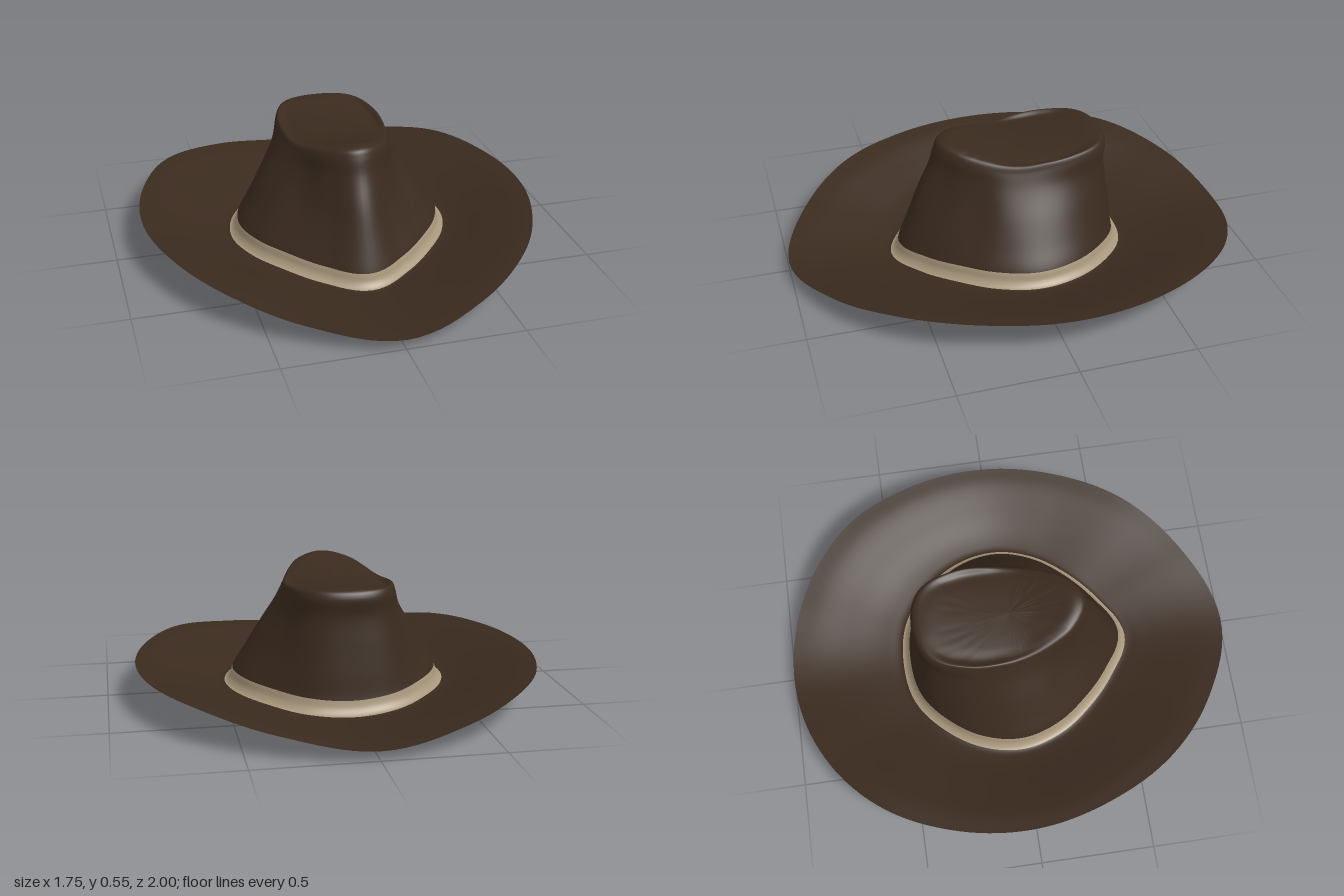
import * as THREE from 'three';

const COLS = 128, STEPS = 6;

// Each ring lists values at 22.5 degree steps from the back round to the front;
// the other half is mirrored.
const brimEdge = {
  r: [1.0, 0.985, 0.955, 0.905, 0.876, 0.868, 0.9, 0.945, 1.0],
  y: [0.042, 0.095, 0.15, 0.155, 0.155, 0.155, 0.14, 0.088, 0.045],
};
const bandBottom = {
  r: [0.495, 0.5, 0.49, 0.49, 0.488, 0.472, 0.465, 0.492, 0.547],
  y: [0.005, 0.017, 0.035, 0.042, 0.042, 0.042, 0.036, 0.018, 0.005],
};
const crownMiddle = {
  r: [0.431, 0.43, 0.385, 0.355, 0.335, 0.325, 0.31, 0.35, 0.415],
  y: [0.29, 0.29, 0.29, 0.29, 0.29, 0.29, 0.3, 0.31, 0.32],
};
const crownRim = {
  r: [0.41, 0.395, 0.31, 0.245, 0.216, 0.213, 0.235, 0.283, 0.32],
  y: [0.518, 0.518, 0.508, 0.497, 0.488, 0.493, 0.51, 0.532, 0.545],
};

// Blend two rings, with an optional change of height
const blend = (a, b, t, ty = t) => ({
  r: a.r.map((v, i) => v + (b.r[i] - v) * t),
  y: a.y.map((v, i) => v + (b.y[i] - v) * ty),
});
const shift = (ring, dr, dy) => ({ r: ring.r.map(v => v + dr), y: ring.y.map(v => v + dy) });

// Smooth value at position s (0 back, 8 front) with mirrored ends
function sample(list, s) {
  const at = i => list[i < 0 ? -i : i > 8 ? 16 - i : i];
  const i = Math.min(7, Math.floor(s)), t = s - i;
  const [a, b, c, d] = [at(i - 1), at(i), at(i + 1), at(i + 2)];
  return b + 0.5 * t * (c - a + t * (2 * a - 5 * b + 4 * c - d + t * (3 * (b - c) + d - a)));
}

// Saddle line along the top of the crown
const saddle = new THREE.SplineCurve([
  [-0.42, 0.52], [-0.36, 0.525], [-0.24, 0.507], [-0.1, 0.497],
  [0.05, 0.5], [0.18, 0.528], [0.29, 0.555], [0.33, 0.548],
].map(p => new THREE.Vector2(...p))).getPoints(100);
function topHeight(x, z) {
  let k = saddle.findIndex(p => p.x >= z);
  if (k < 0) k = saddle.length - 1;
  return saddle[k].y - 0.3 * x * x;
}

const bandTop = shift(bandBottom, -0.036, 0.06);
const rings = [
  brimEdge,
  blend(brimEdge, bandBottom, 0.2, 0.14),
  blend(brimEdge, bandBottom, 0.5),
  blend(brimEdge, bandBottom, 0.85, 0.93),
  bandBottom,
  shift(bandBottom, -0.024, 0.022),
  bandTop,
  blend(bandTop, crownMiddle, 0.45),
  crownMiddle,
  blend(crownMiddle, crownRim, 0.6, 0.55),
  shift(crownRim, 0.016, -0.03),
  crownRim,
];
const topScales = [0.88, 0.65, 0.35, 0];

// One profile from brim edge to crown centre at column j
function profile(j) {
  const angle = (j / COLS) * Math.PI * 2;
  const s = 8 - Math.abs(8 - (j / COLS) * 16);
  const place = (r, y) => new THREE.Vector3(Math.sin(angle) * r, y, -Math.cos(angle) * r);
  const points = rings.map(g => place(sample(g.r, s), sample(g.y, s)));
  const rim = points[points.length - 1];
  for (const k of topScales) {
    points.push(new THREE.Vector3(rim.x * k, topHeight(rim.x * k, rim.z * k), rim.z * k));
  }
  return new THREE.CatmullRomCurve3(points).getPoints((points.length - 1) * STEPS);
}

export function createModel() {
  const profiles = Array.from({ length: COLS }, (_, j) => profile(j));
  const rows = profiles[0].length;
  const surface = new THREE.BufferGeometry();
  surface.setAttribute('position', new THREE.Float32BufferAttribute(
    profiles.flatMap(p => p.flatMap(v => v.toArray())), 3));

  // Triangles between two rows of the shared surface
  const faces = (from, to) => {
    const index = [];
    for (let j = 0; j < COLS; j++) {
      for (let i = from; i < to; i++) {
        const a = j * rows + i, b = ((j + 1) % COLS) * rows + i;
        index.push(a, a + 1, b);
        if (i < rows - 2) index.push(b, a + 1, b + 1);
      }
    }
    return index;
  };
  surface.setIndex(faces(0, rows - 1));
  surface.computeVertexNormals();

  const felt = new THREE.MeshStandardMaterial({ color: 0x3a2a1e, side: THREE.DoubleSide });
  const ribbon = new THREE.MeshStandardMaterial({ color: 0xa8977c, side: THREE.DoubleSide });

  const hat = new THREE.Group();
  hat.name = 'hat';
  const addPart = (name, fromRing, toRow, material) => {
    const part = surface.clone();
    part.setIndex(faces(fromRing * STEPS, toRow));
    const mesh = new THREE.Mesh(part.toNonIndexed(), material);
    mesh.name = name;
    hat.add(mesh);
  };
  addPart('brim', 0, 4 * STEPS, felt);
  addPart('hatBand', 4, 6 * STEPS, ribbon);
  addPart('crown', 6, rows - 1, felt);
  return hat;
}
